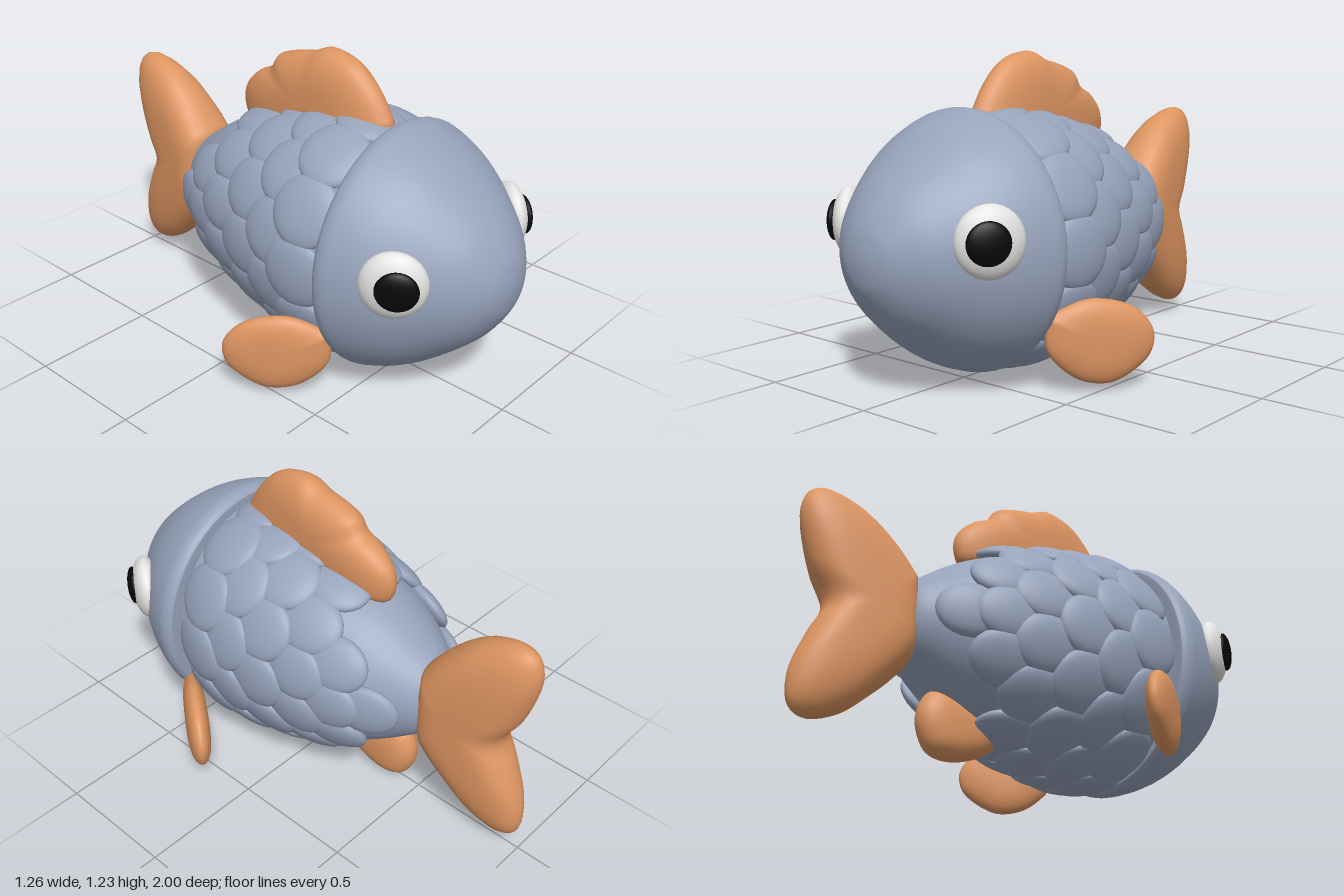
import * as THREE from 'three';

const mat = (name, color, extra) => {
  const m = new THREE.MeshStandardMaterial({ color });
  m.name = name;
  return m;
};
const skin = mat('blue grey skin', 0x97a3bb);
const orange = mat('orange fin', 0xdd9561);
const white = mat('eye white', 0xe4e4e2);
const black = mat('pupil black', 0x080808);

const vec2s = (pts) => pts.map(([a, b]) => new THREE.Vector2(a, b));

// Body radius along its length: [radius, z], tail to neck
const BODY = vec2s([
  [0, -0.6], [0.09, -0.59], [0.15, -0.56], [0.205, -0.49], [0.275, -0.39],
  [0.34, -0.27], [0.4, -0.1], [0.448, 0.1], [0.468, 0.3], [0.46, 0.47],
]);
const BODY_Y = 0.515, BODY_WIDTH = 0.9;

function bodyRadius(z) {
  for (let i = 1; i < BODY.length; i++) {
    const a = BODY[i - 1], b = BODY[i];
    if (z <= b.y) return a.x + ((b.x - a.x) * (z - a.y)) / (b.y - a.y);
  }
  return BODY[BODY.length - 1].x;
}

// Smooth solid of revolution along z
function lathe(points, divisions, width) {
  const profile = new THREE.SplineCurve(points).getPoints(divisions);
  profile.forEach((p) => { p.x = Math.max(p.x, 0); });
  return new THREE.LatheGeometry(profile, 56).rotateX(Math.PI / 2).scale(width, 1, 1);
}

// Cushion-like solid: a closed outline swollen to both sides of its plane
function cushion(outline, centre, thickness, taper = () => 1, fullness = 3) {
  const N = 72, R = 20;
  let pts = new THREE.SplineCurve(vec2s([...outline, outline[0]])).getPoints(N).slice(0, N);
  if (THREE.ShapeUtils.isClockWise(pts)) pts = pts.reverse();
  const pos = [], idx = [];
  for (let j = 0; j <= R; j++) {
    const t = -Math.PI / 2 + (Math.PI * j) / R;
    const s = Math.max(Math.cos(t), 0.0005);
    const depth = Math.sign(Math.sin(t)) * Math.sqrt(1 - s ** fullness) * thickness;
    for (let i = 0; i < N; i++) {
      const u = centre[0] + (pts[i].x - centre[0]) * s;
      const v = centre[1] + (pts[i].y - centre[1]) * s;
      pos.push(u, v, depth * taper(u, v));
      if (j < R) {
        const a = j * N + i, b = j * N + ((i + 1) % N);
        idx.push(a, b, b + N, a, b + N, a + N);
      }
    }
  }
  const g = new THREE.BufferGeometry();
  g.setAttribute('position', new THREE.Float32BufferAttribute(pos, 3));
  g.setIndex(idx);
  g.computeVertexNormals();
  return g;
}

export function createModel() {
  const model = new THREE.Group();
  model.name = 'fish';
  const add = (name, geometry, material, parent = model) => {
    const m = new THREE.Mesh(geometry, material);
    m.name = name;
    parent.add(m);
    return m;
  };

  // Body and head
  add('body', lathe(BODY, 50, BODY_WIDTH), skin).position.y = BODY_Y;
  const headProfile = vec2s([
    [0.3, 0.452], [0.46, 0.45], [0.487, 0.456], [0.499, 0.48], [0.495, 0.52], [0.46, 0.61],
    [0.408, 0.7], [0.33, 0.8], [0.235, 0.9], [0.13, 0.97], [0.06, 0.993], [0, 1],
  ]);
  add('head', lathe(headProfile, 66, 0.965), skin).position.y = 0.53;

  // Overlapping scales: staggered rows of flattened spheres, rear edges lifted
  const scales = new THREE.Group();
  scales.name = 'scales';
  model.add(scales);
  const ball = new THREE.SphereGeometry(1, 24, 16);
  const rows = [
    { z: 0.33, start: 0 }, { z: 0.2, start: 15 }, { z: 0.04, start: 0 },
    { z: -0.13, start: 15 }, { z: -0.27, start: 0, limit: 0.55 }, { z: -0.4, start: 0, limit: 0.1 },
  ];
  rows.forEach(({ z, start, limit = 2 }) => {
    const r = bodyRadius(z);
    const slope = (bodyRadius(z + 0.05) - bodyRadius(z - 0.05)) / 0.1;
    for (let k = 0; k < 12; k++) {
      const a = THREE.MathUtils.degToRad(start + 30 * k);
      const c = Math.cos(a), s = Math.sin(a);
      if (Math.abs(s) > limit) continue;
      const n = new THREE.Vector3(c / BODY_WIDTH, s, -slope).normalize();
      const back = new THREE.Vector3(0, 0, -1);
      back.addScaledVector(n, -back.dot(n)).normalize();
      const lifted = back.clone().addScaledVector(n, 0.14).normalize();
      const up = n.clone().addScaledVector(back, -0.14).normalize();
      const side = up.clone().cross(lifted);
      const scale = add('scale', ball, skin, scales);
      scale.position.set(BODY_WIDTH * r * c, BODY_Y + r * s, z);
      scale.quaternion.setFromRotationMatrix(new THREE.Matrix4().makeBasis(side, up, lifted));
      scale.scale.set(Math.max(r * 0.3, 0.11), 0.042, 0.138);
    }
  });

  // Fins in the middle plane, outlines given as [z, y]
  const middleFin = (name, ...args) => {
    add(name, cushion(...args), orange).rotation.y = -Math.PI / 2;
  };
  middleFin('dorsalFin', [
    [0.43, 1.0], [0.36, 1.11], [0.26, 1.2], [0.13, 1.232], [0.04, 1.2], [-0.04, 1.182],
    [-0.13, 1.15], [-0.175, 1.09], [-0.25, 1.05], [-0.315, 0.98], [-0.325, 0.9], [-0.28, 0.84],
    [-0.1, 0.85], [0.15, 0.9], [0.35, 0.93],
  ], [0.05, 1.0], 0.095);
  middleFin('tailFin', [
    [-0.53, 0.69], [-0.62, 0.8], [-0.75, 0.91], [-0.89, 0.96], [-0.975, 0.935], [-1, 0.83],
    [-0.95, 0.64], [-0.88, 0.5], [-0.93, 0.38], [-0.99, 0.22], [-0.985, 0.09], [-0.91, 0.048],
    [-0.79, 0.09], [-0.67, 0.19], [-0.58, 0.28], [-0.53, 0.36], [-0.52, 0.52],
  ], [-0.7, 0.52], 0.145, (z) => THREE.MathUtils.mapLinear(z, -0.6, -1, 1, 0.6), 4);
  middleFin('analFin', [
    [-0.12, 0.1], [-0.2, 0.045], [-0.32, 0.01], [-0.42, 0.03], [-0.468, 0.12],
    [-0.46, 0.21], [-0.4, 0.27], [-0.25, 0.24],
  ], [-0.31, 0.13], 0.075);

  // Mirrored parts: side fins and eyes
  for (const sign of [1, -1]) {
    const half = new THREE.Group();
    half.name = sign > 0 ? 'leftSide' : 'rightSide';
    half.scale.x = sign;
    model.add(half);

    const fin = add('pectoralFin', cushion([
      [-0.22, 0.1], [-0.06, 0.16], [0.1, 0.13], [0.19, 0.04], [0.18, -0.06],
      [0.09, -0.135], [0, -0.16], [-0.11, -0.13], [-0.21, -0.03],
    ], [0, 0], 0.048), orange, half);
    fin.position.set(0.505, 0.19, 0.29);
    fin.rotation.y = 0.95;

    const eye = new THREE.Group();
    eye.name = 'eye';
    eye.position.set(0.358, 0.602, 0.735);
    eye.rotation.y = 0.97;
    half.add(eye);
    add('eyeball', ball, white, eye).scale.set(0.127, 0.132, 0.06);
    const pupil = add('pupil', ball, black, eye);
    pupil.position.set(-0.015, 0.003, 0.052);
    pupil.scale.set(0.08, 0.078, 0.026);
  }
  return model;
}
